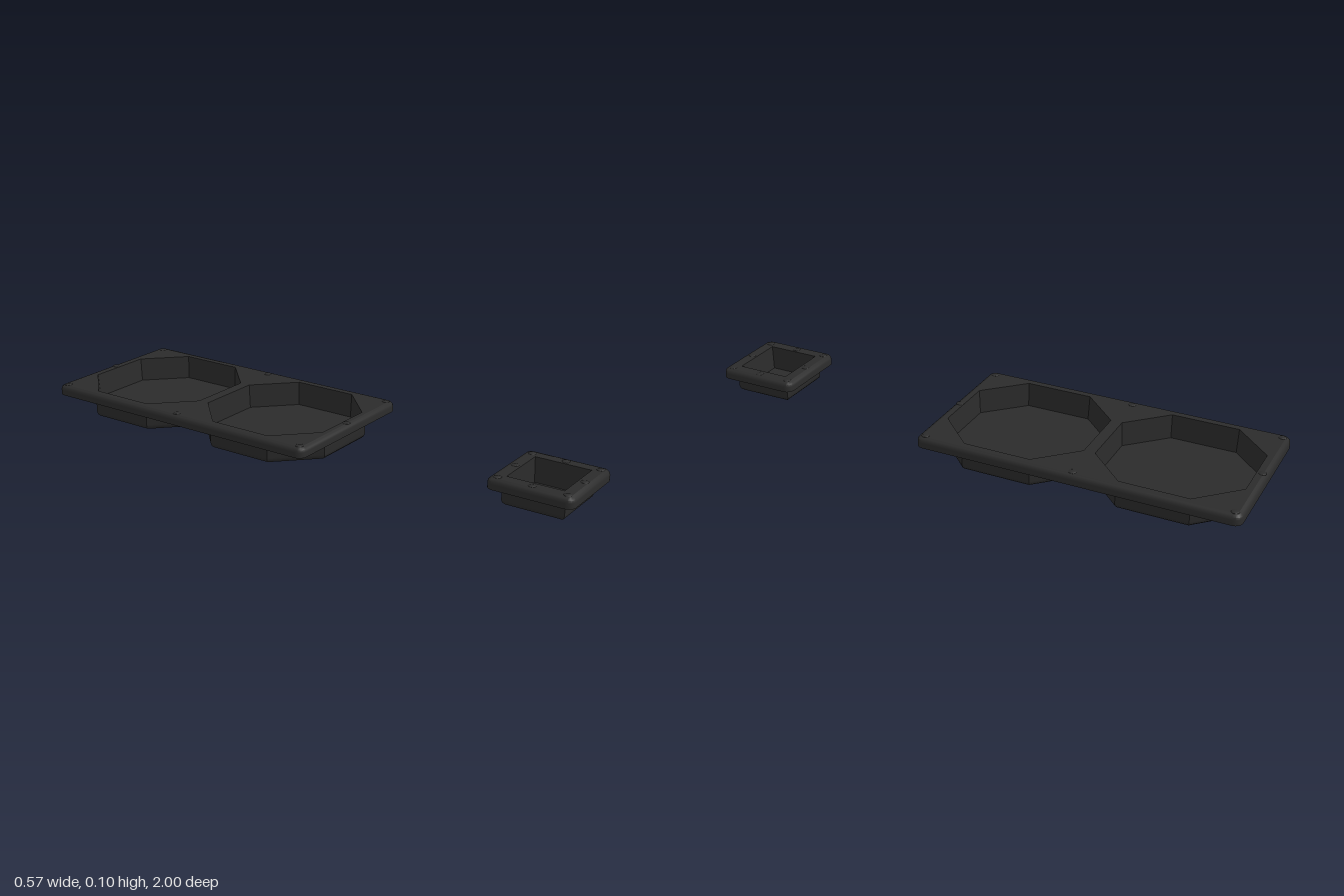
import * as THREE from 'three';
import { toCreasedNormals } from 'three/addons/utils/BufferGeometryUtils.js';

const TOP = 0.098, UNDER = 0.088, LIP = 0.063, FLOOR = 0.012;

// Outlines: functions of an inset d that return [x, z] points running from +x towards +z
const roundedRect = (a, b, r) => (d) => {
  const pts = [], n = 4, rad = Math.max(r - d, 0.006);
  const corners = [[1, 1], [-1, 1], [-1, -1], [1, -1]];
  corners.forEach(([sx, sz], q) => {
    for (let i = 0; i <= n; i++) {
      const t = (q + i / n) * Math.PI / 2;
      pts.push([sx * (a - d - rad) + rad * Math.cos(t), sz * (b - d - rad) + rad * Math.sin(t)]);
    }
  });
  return pts;
};
const square = (h) => (d) => [[1, 1], [-1, 1], [-1, -1], [1, -1]].map(([x, z]) => [x * (h - d), z * (h - d)]);
const octagon = (h, flat) => (d) => {
  const a = h - d, f = flat - d * 0.414;
  return [[a, f], [f, a], [-f, a], [-a, f], [-a, -f], [-f, -a], [f, -a], [a, -f]];
};

// Skins an outline along a profile of [inset, y]; an inset of null closes to the centre
function loft(outline, profile) {
  const pos = [], idx = [];
  const n = outline(0).length;
  profile.forEach(([d, y]) => {
    for (const [x, z] of outline(d ?? 0)) pos.push(d === null ? 0 : x, y, d === null ? 0 : z);
  });
  for (let i = 0; i < profile.length - 1; i++) {
    for (let j = 0; j < n; j++) {
      const k = (j + 1) % n;
      const a = i * n + j, b = i * n + k, c = a + n, e = b + n;
      if (profile[i][0] !== null) idx.push(a, c, b);
      if (profile[i + 1][0] !== null) idx.push(b, c, e);
    }
  }
  // a ring closing to the centre needs only one triangle per side
  const g = new THREE.BufferGeometry();
  g.setAttribute('position', new THREE.Float32BufferAttribute(pos, 3));
  g.setIndex(idx);
  return toCreasedNormals(g, 0.6);
}

// Quarter-round profile steps
const round = (r, y0, fromFloor) => Array.from({ length: 4 }, (_, i) => {
  const t = (i / 3) * Math.PI / 2;
  return fromFloor
    ? [r * (1 - Math.sin(t)), y0 + r * (1 - Math.cos(t))]
    : [r * (1 - Math.cos(t)), y0 - r + r * Math.sin(t)];
});

// Flat sheet with pan openings, facing up or down
function sheet(outline, d, pans, panInset, y, up) {
  const s = up ? -1 : 1;
  const toVec = ([x, z]) => new THREE.Vector2(x, s * z);
  const shape = new THREE.Shape(outline(d).map(toVec));
  for (const p of pans) {
    shape.holes.push(new THREE.Path(p.outline(panInset).map(([x, z]) => toVec([x, z + p.z]))));
  }
  return new THREE.ShapeGeometry(shape).rotateX(s * Math.PI / 2).translate(0, y, 0);
}

export function createModel() {
  const plastic = new THREE.MeshStandardMaterial({ color: 0x2b2b2b });
  plastic.name = 'dark plastic';
  const model = new THREE.Group();
  model.name = 'trays';

  function add(parent, name, geometry, x = 0, y = 0, z = 0) {
    const m = new THREE.Mesh(geometry, plastic);
    m.name = name;
    m.position.set(x, y, z);
    parent.add(m);
  }

  function tray(name, z, rim, pans, studs) {
    const g = new THREE.Group();
    g.name = name;
    g.position.z = z;
    model.add(g);

    // Hollow lip with a rounded upper edge
    add(g, 'lip', loft(rim, [[0.012, UNDER], [0.012, LIP], [0, LIP], ...round(0.016, TOP, false)]));
    add(g, 'deckTop', sheet(rim, 0.016, pans, 0.01, TOP, true));
    add(g, 'deckUnderside', sheet(rim, 0.012, pans, 0, UNDER, false));

    // Thin-walled pans with rounded undersides
    for (const p of pans) {
      add(g, 'pan', loft(p.outline, [
        [null, 0], ...round(0.02, 0, true), [0, UNDER],
        [0.01, TOP], [0.015, FLOOR], [null, FLOOR],
      ]), 0, 0, p.z);
    }

    // Small raised studs on the deck
    const dome = new THREE.SphereGeometry(0.014, 12, 4, 0, Math.PI * 2, 0, Math.PI / 2).scale(1, 0.27, 1);
    for (const [x, sz] of studs) add(g, 'stud', dome, x, TOP - 0.0005, sz);
  }

  // Long tray with two octagonal pans
  const oct = octagon(0.26, 0.122);
  tray('doubleTray', -0.444, roundedRect(0.287, 0.556, 0.028),
    [{ outline: oct, z: -0.268 }, { outline: oct, z: 0.272 }],
    [[-0.26, -0.529], [0, -0.537], [0.26, -0.529], [-0.26, 0], [0.26, 0],
      [-0.26, 0.529], [0, 0.537], [0.26, 0.529]]);

  // Small tray with one square pan
  const s = 0.118;
  tray('smallTray', 0.853, roundedRect(0.147, 0.147, 0.026),
    [{ outline: square(0.107), z: 0 }],
    [[-s, -s], [0, -s], [s, -s], [-s, 0], [s, 0], [-s, s], [0, s], [s, s]]);

  return model;
}
